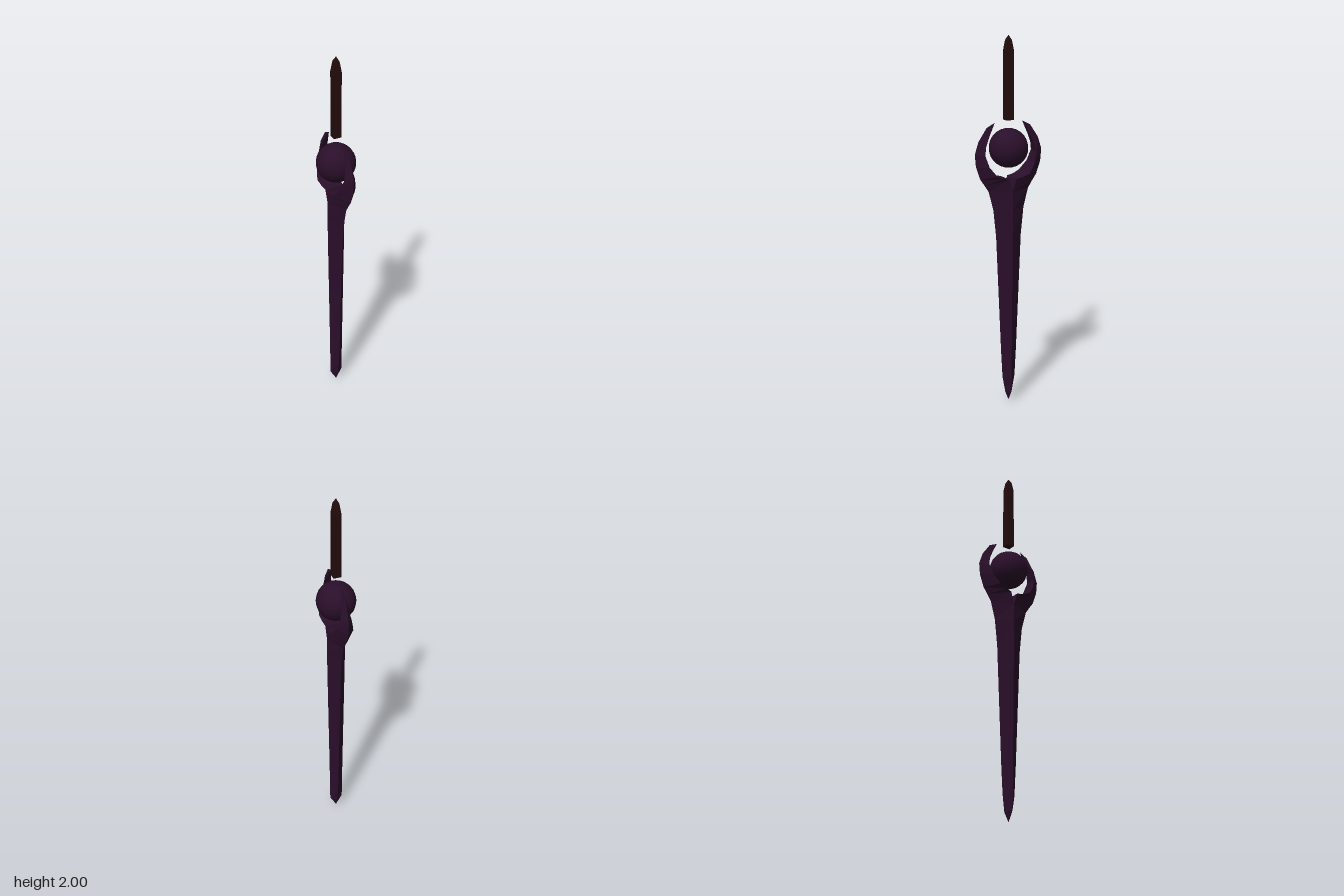
import * as THREE from 'three';

// Faceted skin over a list of equal-length rings (counter-clockwise seen from above), rising along the part
function loft(rings, capStart) {
  const out = [];
  const n = rings[0].length;
  for (let i = 0; i < rings.length - 1; i++) {
    for (let j = 0; j < n; j++) {
      const k = (j + 1) % n;
      const a = rings[i][j], b = rings[i][k], c = rings[i + 1][k], d = rings[i + 1][j];
      out.push(...a, ...b, ...c, ...a, ...c, ...d);
    }
  }
  if (capStart) {
    const r = rings[0];
    for (let j = 1; j < n - 1; j++) out.push(...r[0], ...r[j + 1], ...r[j]);
  }
  const g = new THREE.BufferGeometry();
  g.setAttribute('position', new THREE.Float32BufferAttribute(out, 3));
  g.computeVertexNormals();
  return g;
}

export function createModel() {
  const group = new THREE.Group();
  const add = (name, geometry, material) => {
    const m = new THREE.Mesh(geometry, material);
    m.name = name;
    group.add(m);
    return m;
  };
  const darkPurple = new THREE.MeshStandardMaterial({ color: 0x2a0f2a });
  darkPurple.name = 'dark purple';
  const darkBrown = new THREE.MeshStandardMaterial({ color: 0x230d0c });
  darkBrown.name = 'dark brown';

  // Half shaft with its curved prong: [outer z, outer y, inner z, inner y, half width]
  const stations = [
    [0, 0, 0, 0, 0],
    [0.02, 0.05, 0, 0.06, 0.035],
    [0.037, 0.14, 0, 0.14, 0.036],
    [0.046, 0.3, 0, 0.3, 0.038],
    [0.06, 0.62, 0, 0.62, 0.043],
    [0.074, 0.94, 0, 0.94, 0.048],
    [0.09, 1.09, 0, 1.09, 0.05],
    [0.117, 1.19, 0, 1.19, 0.05],
    [0.14, 1.225, 0.02, 1.257, 0.052],
    [0.165, 1.26, 0.053, 1.262, 0.056],
    [0.178, 1.295, 0.095, 1.28, 0.061],
    [0.19, 1.33, 0.133, 1.33, 0.045],
    [0.196, 1.395, 0.15, 1.39, 0.03],
    [0.175, 1.46, 0.14, 1.435, 0.02],
    [0.127, 1.53, 0.117, 1.485, 0.012],
    [0.08, 1.553, 0.08, 1.553, 0],
  ];
  // Triangular section: outer ridge and a flat inner face
  const half = loft(stations.map(([zo, yo, zi, yi, w]) => [[0, yo, zo], [w, yi, zi], [-w, yi, zi]]));
  add('frontShaftProng', half, darkPurple);
  add('backShaftProng', half, darkPurple).rotation.y = Math.PI;

  // Floating orb between the prongs
  add('orb', new THREE.SphereGeometry(0.104, 20, 14), darkPurple).position.y = 1.415;

  // Square spike above the orb: [y, half width]
  const spike = [[1.563, 0.021], [1.92, 0.021], [1.975, 0.013], [2, 0]];
  add('spike', loft(spike.map(([y, w]) => [[-w, y, w], [w, y, w], [w, y, -w], [-w, y, -w]]), true), darkBrown);

  return group;
}
